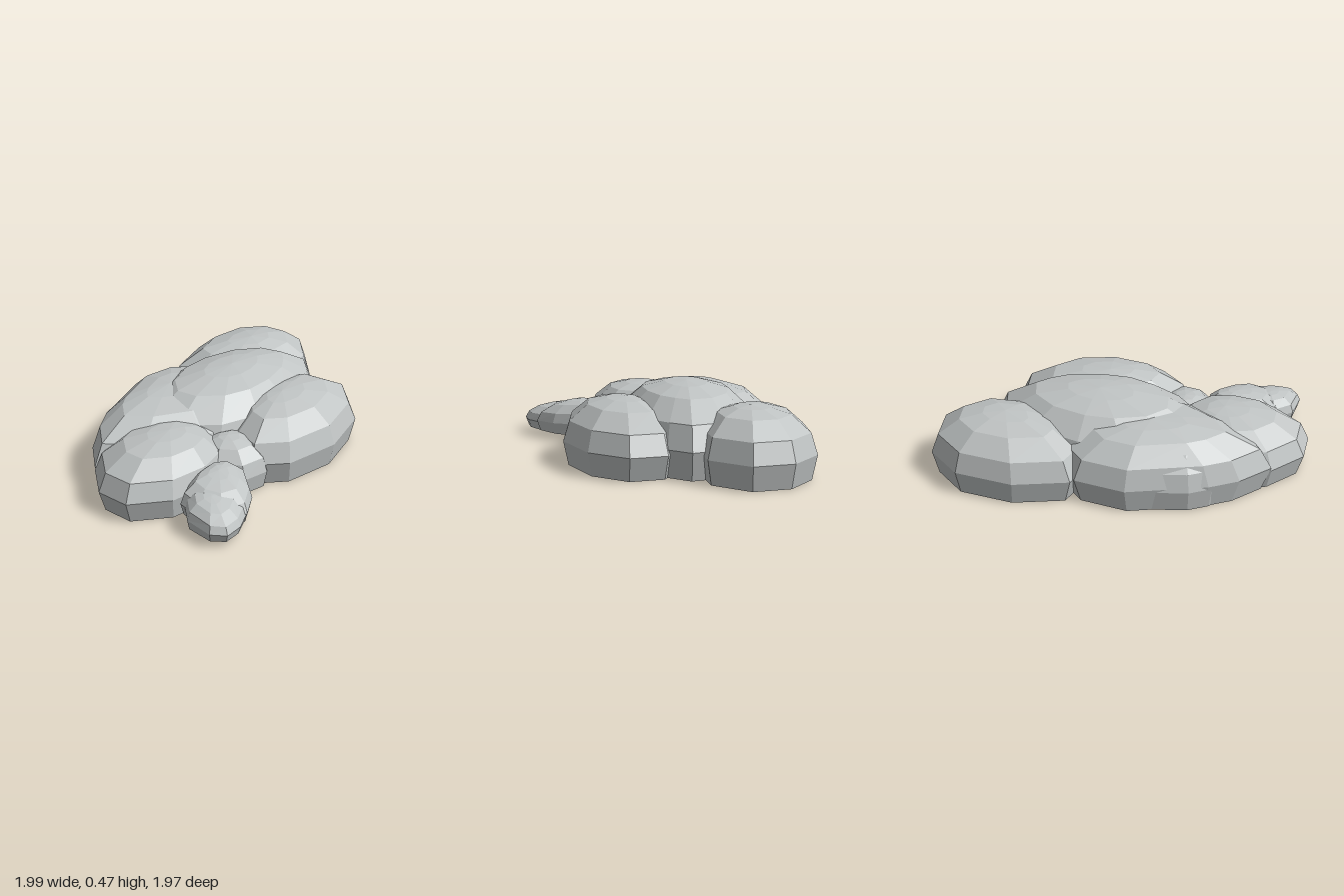
import * as THREE from 'three';

// Rings of every puff: [outline scale about the crown, fraction of its height]
const PROFILE = [[0.92, 0], [1, 0.36], [0.9, 0.66], [0.61, 0.895], [0.3, 0.975]];

// A flat-bottomed faceted puff: outline of [x, z] points drawn in towards a crown
function puff(name, material, crown, base, height, outline, slope = 0) {
  const [cx, cz] = crown;
  let area = 0;
  outline.forEach(([x, z], i) => {
    const [x2, z2] = outline[(i + 1) % outline.length];
    area += x * z2 - x2 * z;
  });
  const edge = area > 0 ? [...outline].reverse() : outline;
  const n = edge.length, pos = [], index = [];
  for (const [s, h] of PROFILE) {
    for (const [x, z] of edge) {
      const dz = (z - cz) * s;
      // slope lowers the upper rings towards the front
      pos.push(cx + (x - cx) * s, base + h * (height - slope * dz), cz + dz);
    }
  }
  const top = PROFILE.length * n, bottom = top + 1, last = (PROFILE.length - 1) * n;
  pos.push(cx, base + height, cz, cx, base, cz);
  for (let i = 0; i < n; i++) {
    const j = (i + 1) % n;
    for (let r = 0; r < last; r += n) {
      index.push(r + i, r + j, r + n + j, r + i, r + n + j, r + n + i);
    }
    index.push(last + i, last + j, top, bottom, j, i);
  }
  const geometry = new THREE.BufferGeometry();
  geometry.setAttribute('position', new THREE.Float32BufferAttribute(pos, 3));
  geometry.setIndex(index);
  const flat = geometry.toNonIndexed();
  flat.computeVertexNormals();
  const mesh = new THREE.Mesh(flat, material);
  mesh.name = name;
  return mesh;
}

export function createModel() {
  const group = new THREE.Group();
  group.name = 'cloud';
  const grey = new THREE.MeshStandardMaterial({ color: 0xc0c4c4, flatShading: true });
  grey.name = 'cloud grey';
  const add = (...args) => group.add(puff(args[0], grey, ...args.slice(1)));

  // Tall middle
  add('centrePuff', [0.14, -0.18], 0, 0.475, [
    [0.81, -0.31], [0.74, -0.16], [0.62, 0.0], [0.36, 0.17], [0.08, 0.27], [-0.2, 0.27],
    [-0.45, 0.14], [-0.55, -0.05], [-0.46, -0.28], [-0.22, -0.48], [0.05, -0.58],
    [0.4, -0.6], [0.68, -0.5]]);

  // Broad back left
  add('backLeftPuff', [-0.26, -0.24], 0, 0.415, [
    [-0.91, 0.04], [-0.82, -0.18], [-0.7, -0.33], [-0.32, -0.63], [-0.01, -0.685],
    [0.25, -0.55], [0.38, -0.25], [0.3, 0.05], [0.05, 0.22], [-0.3, 0.28], [-0.68, 0.2]]);
  add('backSmallPuff', [-0.45, -0.22], 0, 0.36, [
    [-0.71, -0.31], [-0.62, -0.42], [-0.35, -0.58], [-0.1, -0.4], [-0.15, -0.1],
    [-0.45, 0.05], [-0.76, -0.12]]);

  // Back corner
  add('backCornerPuff', [0.53, -0.6], 0, 0.405, [
    [0.99, -0.66], [0.88, -0.88], [0.62, -0.985], [0.27, -0.91], [0.0, -0.71],
    [0.01, -0.55], [0.2, -0.36], [0.5, -0.26], [0.75, -0.36], [0.86, -0.4]]);

  // Front pair
  add('frontCornerPuff', [0.29, 0.16], 0, 0.395, [
    [0.87, 0.03], [0.75, 0.29], [0.45, 0.5], [0.1, 0.56], [-0.11, 0.47],
    [-0.12, 0.28], [0.0, 0.05], [0.3, -0.13], [0.55, -0.2], [0.77, -0.17]]);
  add('frontSidePuff', [-0.5, 0.2], 0, 0.36, [
    [-1, 0.28], [-0.93, 0.48], [-0.68, 0.57], [-0.42, 0.52], [-0.24, 0.4],
    [-0.16, 0.18], [-0.25, -0.06], [-0.5, -0.14], [-0.75, -0.08], [-0.91, 0.04]]);

  // Bridge between the front pair
  add('bridgePuff', [-0.17, 0.3], 0, 0.285, [
    [-0.03, 0.515], [-0.2, 0.54], [-0.34, 0.43], [-0.36, 0.25], [-0.22, 0.12],
    [-0.02, 0.15], [0.06, 0.34]]);

  // Small trailing wisp
  add('wispPuff', [-0.39, 0.58], 0.04, 0.21, [
    [-0.19, 0.54], [-0.26, 0.73], [-0.37, 0.86], [-0.53, 0.86], [-0.63, 0.74],
    [-0.65, 0.6], [-0.52, 0.48], [-0.35, 0.41], [-0.23, 0.44]], 0.12);
  add('wispTip', [-0.53, 0.74], 0.04, 0.165, [
    [-0.36, 0.84], [-0.46, 0.94], [-0.57, 0.985], [-0.65, 0.93], [-0.69, 0.75],
    [-0.63, 0.61], [-0.48, 0.58], [-0.34, 0.68]], 0.12);

  return group;
}
